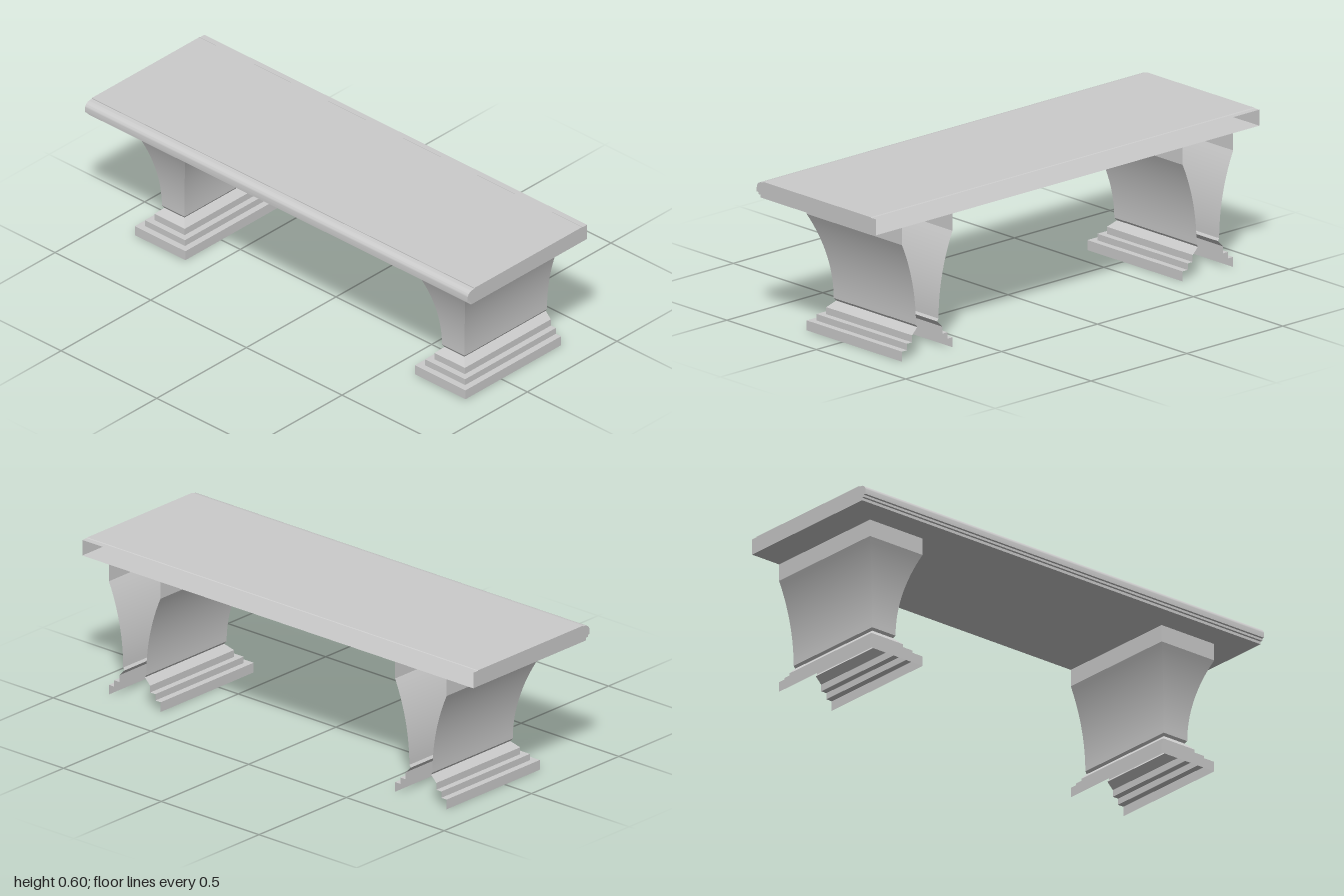
import * as THREE from 'three';
import { toCreasedNormals } from 'three/addons/utils/BufferGeometryUtils.js';

const BACK = -0.333;
const material = new THREE.MeshStandardMaterial({ color: 0xcccccc, side: THREE.DoubleSide });

function addMesh(parent, name, geometry) {
  const mesh = new THREE.Mesh(geometry, material);
  mesh.name = name;
  parent.add(mesh);
  return mesh;
}

// Open surface through rows of [x, y, z] points
function skin(rows) {
  const pos = [];
  for (let i = 0; i < rows.length - 1; i++) {
    for (let j = 0; j < rows[i].length - 1; j++) {
      const a = rows[i][j], b = rows[i][j + 1];
      const c = rows[i + 1][j + 1], d = rows[i + 1][j];
      pos.push(...a, ...b, ...c, ...a, ...c, ...d);
    }
  }
  const geometry = new THREE.BufferGeometry();
  geometry.setAttribute('position', new THREE.Float32BufferAttribute(pos, 3));
  return toCreasedNormals(geometry, 0.4);
}

// Leg outline as [inset, y]: stepped plinth, narrow neck, flaring shaft, top block
function legProfile() {
  const profile = [
    [0, 0], [0, 0.04], [0.027, 0.04], [0.027, 0.066],
    [0.053, 0.066], [0.053, 0.094], [0.08, 0.121],
  ];
  const y0 = 0.131, y1 = 0.467, flare = 0.073, steps = 16;
  const h = y1 - y0;
  const radius = (h * h + flare * flare) / (2 * flare);
  for (let i = 0; i <= steps; i++) {
    const dy = (h * i) / steps;
    profile.push([flare - radius + Math.sqrt(radius * radius - dy * dy), y0 + dy]);
  }
  profile.push([0, 0.536]);
  return profile;
}

// Seat outline as [z, y], from the back of the underside round the nose to the back of the top
function seatProfile() {
  const profile = [
    [BACK, 0.536], [0.313, 0.536], [0.313, 0.547],
    [0.323, 0.547], [0.323, 0.556], [0.333, 0.556],
  ];
  for (let i = 0; i <= 10; i++) {
    const t = (i / 10) * Math.PI / 2;
    profile.push([0.305 + 0.028 * Math.cos(t), 0.572 + 0.026 * Math.sin(t)]);
  }
  profile.push([0.295, 0.599], [0.295, 0.602], [-0.305, 0.602], [-0.308, 0.6], [BACK, 0.6]);
  return profile;
}

export function createModel() {
  const model = new THREE.Group();
  model.name = 'bench';

  // Seat slab, open along the back
  const seat = new THREE.Group();
  seat.name = 'seat';
  model.add(seat);
  const outline = seatProfile();
  addMesh(seat, 'seatSlab', skin(outline.map(([z, y]) => [[-1, y, z], [1, y, z]])));
  for (const side of [-1, 1]) {
    const shape = new THREE.Shape(outline.map(([z, y]) => new THREE.Vector2(-side * z, y)));
    const end = new THREE.ShapeGeometry(shape).rotateY(side * Math.PI / 2);
    addMesh(seat, side > 0 ? 'leftSeatEnd' : 'rightSeatEnd', end).position.x = side;
  }

  // Two hollow pedestal legs, with a front and two sides each
  const legGeometry = skin(legProfile().map(([inset, y]) => {
    const x = 0.132 - inset, z = 0.2 - inset;
    return [[-x, y, BACK], [-x, y, z], [x, y, z], [x, y, BACK]];
  }));
  for (const side of [-1, 1]) {
    addMesh(model, side > 0 ? 'leftLeg' : 'rightLeg', legGeometry).position.x = side * 0.732;
  }
  return model;
}
